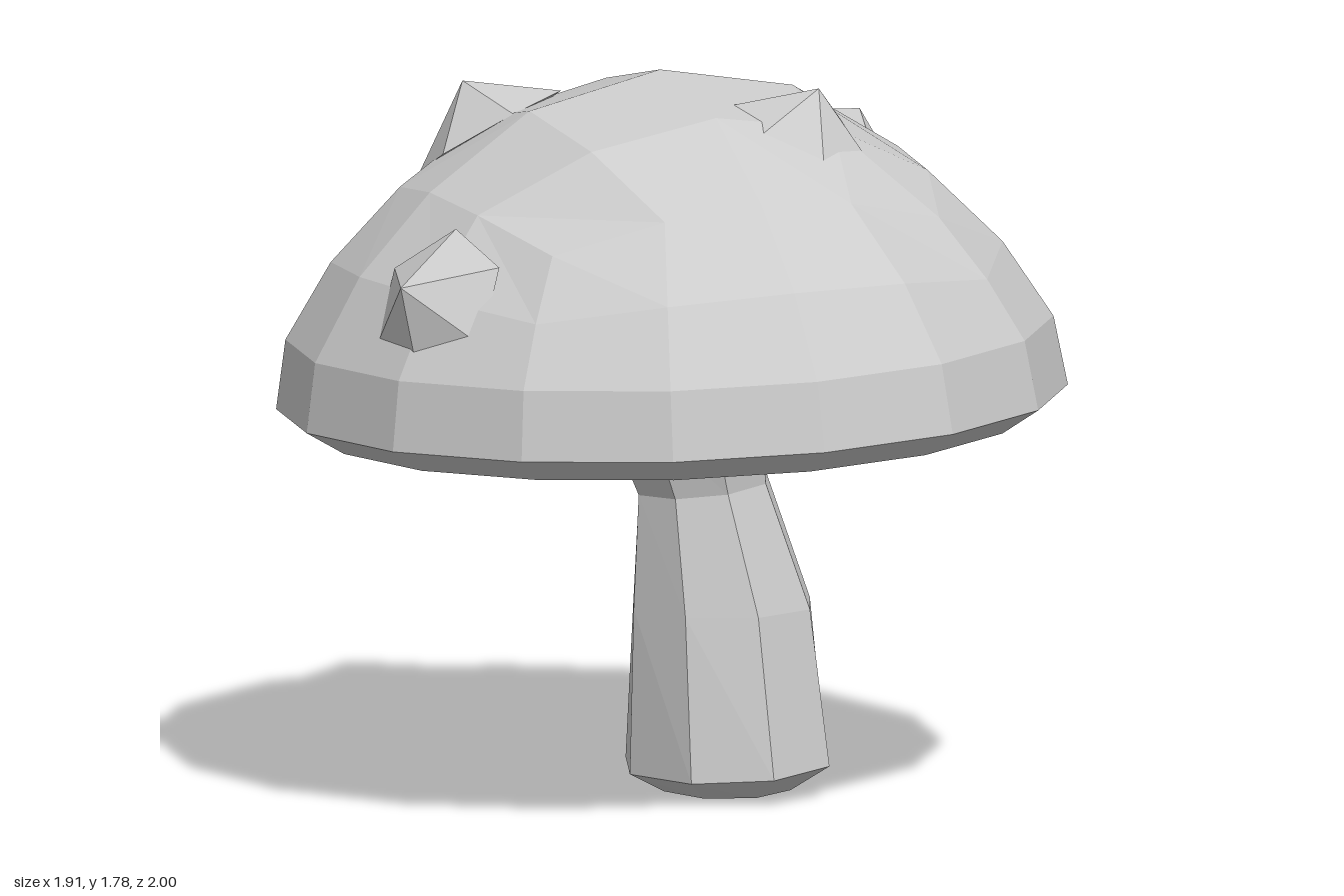
import * as THREE from 'three';

const stone = new THREE.MeshStandardMaterial({ color: 0xcccccc, flatShading: true });
stone.name = 'plain grey';

// Cap outline: [radius, height above the rim]
const outline = [[0, 0.805], [0.36, 0.735], [0.5, 0.66], [0.64, 0.56], [0.75, 0.465],
  [0.84, 0.37], [0.97, 0.17], [1, 0]];

function capHeight(r) {
  for (let i = 1; i < outline.length; i++) {
    const [r0, y0] = outline[i - 1], [r1, y1] = outline[i];
    if (r <= r1) return y0 + (y1 - y0) * (r - r0) / (r1 - r0);
  }
  return 0;
}

// Flat-faced geometry from quads and triangles
function facets(faces) {
  const pos = [];
  for (const f of faces) {
    for (let i = 2; i < f.length; i++) pos.push(...f[0], ...f[i - 1], ...f[i]);
  }
  const g = new THREE.BufferGeometry();
  g.setAttribute('position', new THREE.Float32BufferAttribute(pos, 3));
  g.computeVertexNormals();
  return g;
}

// Walls between rings listed from bottom to top, closed underneath
function loft(rings, centre) {
  const faces = [], n = rings[0].length;
  for (let k = 0; k < n; k++) {
    const m = (k + 1) % n;
    faces.push([centre, rings[0][k], rings[0][m]]);
    for (let i = 0; i + 1 < rings.length; i++) {
      faces.push([rings[i][k], rings[i + 1][k], rings[i + 1][m], rings[i][m]]);
    }
  }
  return faces;
}

function add(parent, name, geometry) {
  const mesh = new THREE.Mesh(geometry, stone);
  mesh.name = name;
  parent.add(mesh);
  return mesh;
}

function capGeometry() {
  const polar = (r, a, y) => [0.955 * r * Math.cos(a), y, r * Math.sin(a)];
  // bulge pushes the four diagonal corners of a ring outward
  const ring = (radius, bulge, y) => Array.from({ length: 16 }, (_, k) => {
    const t = 1 - Math.abs(2 - (k % 4)) / 2;
    const r = radius * (1 + bulge * t * t);
    return polar(r, k * Math.PI / 8, y ?? capHeight(r));
  });
  const faces = loft([
    ring(0.9, 0, -0.06), ring(1, 0, 0), ring(0.97, 0), ring(0.84, 0.04), ring(0.64, 0.17),
  ], [0, -0.05, 0]);

  // Crown: a four by four grid bent into the dome
  const crown = (i, j) => {
    const m = Math.max(Math.abs(i), Math.abs(j));
    if (m === 0) return polar(0, 0, capHeight(0));
    const t = Math.min(Math.abs(i), Math.abs(j)) / m;
    const quarter = t * Math.PI / 4;
    const a = Math.abs(i) >= Math.abs(j) ? quarter : Math.PI / 2 - quarter;
    const r = [0, 0.36, 0.64][m] * (1 + [0, 0.3, 0.17][m] * t * t);
    const p = polar(r, a, capHeight(r));
    return [p[0] * (i < 0 ? -1 : 1), p[1], p[2] * (j < 0 ? -1 : 1)];
  };
  for (let i = -2; i < 2; i++) {
    for (let j = -2; j < 2; j++) {
      faces.push([crown(i, j), crown(i, j + 1), crown(i + 1, j + 1), crown(i + 1, j)]);
    }
  }
  return facets(faces);
}

function stemGeometry() {
  // [height, centre x, radius x, radius z, sideways slope]
  const sections = [
    [0.01, 0.14, 0.16, 0.2, 0.03],
    [0.068, 0.145, 0.255, 0.305, 0.06],
    [0.46, 0.13, 0.23, 0.24, 0],
    [0.755, 0.08, 0.167, 0.167, 0.1],
    [0.93, 0.033, 0.203, 0.2, 0],
    [1.0, 0.02, 0.22, 0.22, 0],
  ];
  const rings = sections.map(([y, cx, rx, rz, slope]) => Array.from({ length: 8 }, (_, k) => {
    const a = k * Math.PI / 4;
    const x = rx * Math.cos(a);
    return [cx + x, y + x * slope, rz * Math.sin(a)];
  }));
  return facets(loft(rings, [0.14, 0, 0]));
}

export function createModel() {
  const group = new THREE.Group();
  group.name = 'mushroom';

  const cap = add(group, 'cap', capGeometry());
  cap.position.y = 0.975;
  cap.rotation.set(-0.018, 0, 0.032);

  add(group, 'stem', stemGeometry());

  // Pointed warts, placed by their tips and leaning out from the dome
  const tips = [[0.25, 1.77, 0.335], [-0.4, 1.72, -0.37], [0.61, 1.6, -0.3],
    [-0.85, 1.35, 0.355], [-0.03, 1.405, -0.91]];
  const spike = new THREE.ConeGeometry(0.2, 0.14, 6).translate(0, -0.07, 0);
  const up = new THREE.Vector3(0, 1, 0);
  for (const [x, y, z] of tips) {
    const wart = add(group, 'wart', spike);
    const axis = new THREE.Vector3(x, (y - 0.98) * 1.2, z).normalize();
    wart.position.set(x, y, z);
    wart.quaternion.setFromUnitVectors(up, axis);
  }
  return group;
}
